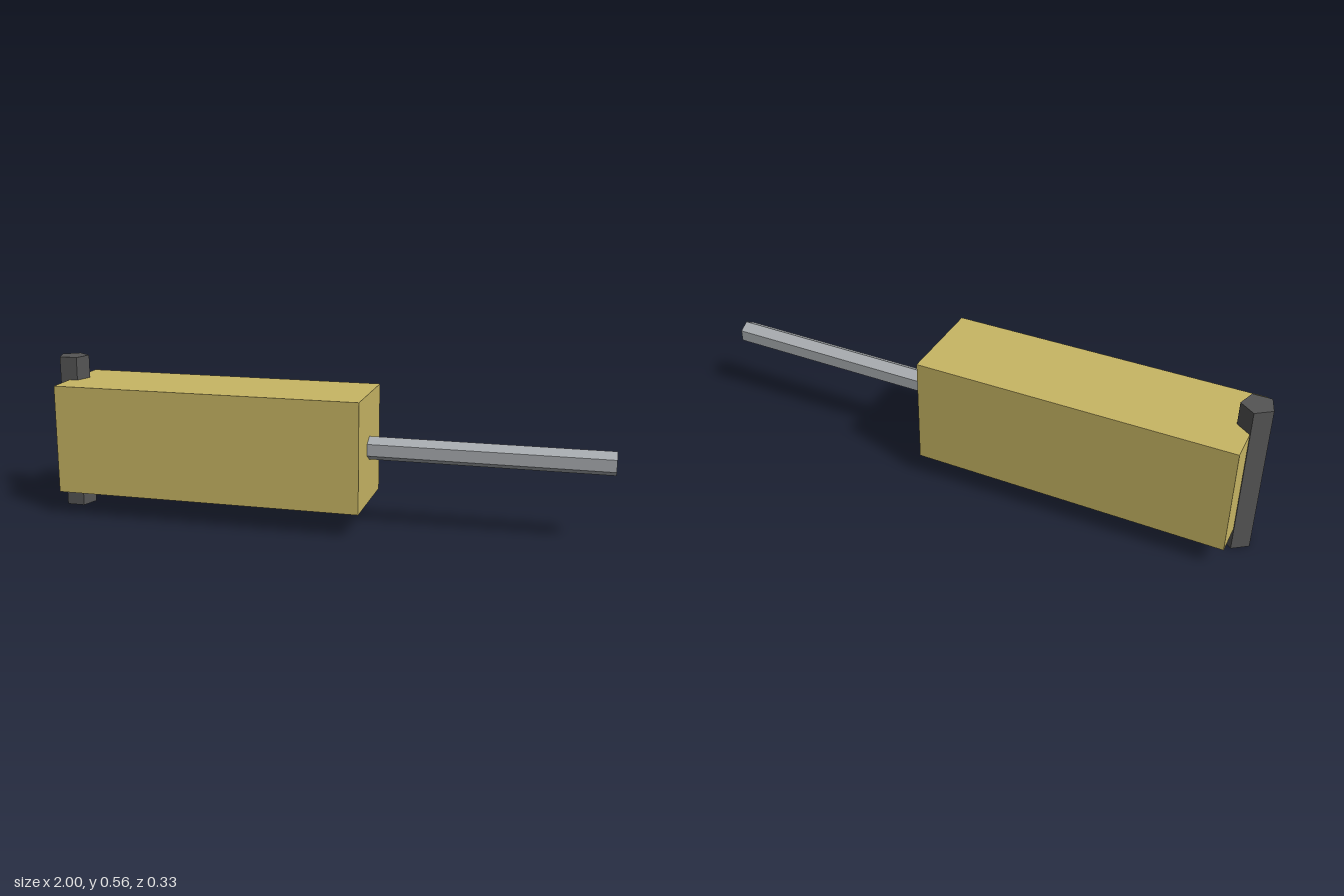
import * as THREE from 'three';

export function createModel() {
  const group = new THREE.Group();
  const material = (name, color) => {
    const m = new THREE.MeshStandardMaterial({ color, flatShading: true });
    m.name = name;
    return m;
  };
  const tan = material('tan', 0xc8b664);
  const steel = material('steel grey', 0xaaaeb2);
  const dark = material('dark grey', 0x555555);

  const add = (name, geometry, mat, x, y) => {
    const mesh = new THREE.Mesh(geometry, mat);
    mesh.name = name;
    mesh.position.set(x, y, 0);
    group.add(mesh);
  };

  // Rectangular body block
  add('body', new THREE.BoxGeometry(1.108, 0.389, 0.334), tan, -0.391, 0.2795);

  // Hexagonal rod, corners up and down, starting just inside the body
  const rod = new THREE.CylinderGeometry(0.0415, 0.0415, 0.847, 6);
  rod.rotateY(Math.PI / 2).rotateZ(-Math.PI / 2);
  add('rod', rod, steel, 0.5765, 0.2795);

  // Five-sided upright pin through the end of the body, one corner to the back
  const pin = new THREE.CylinderGeometry(0.0555, 0.0555, 0.557, 5);
  pin.rotateY(Math.PI);
  add('pin', pin, dark, -0.947, 0.2785);

  return group;
}
